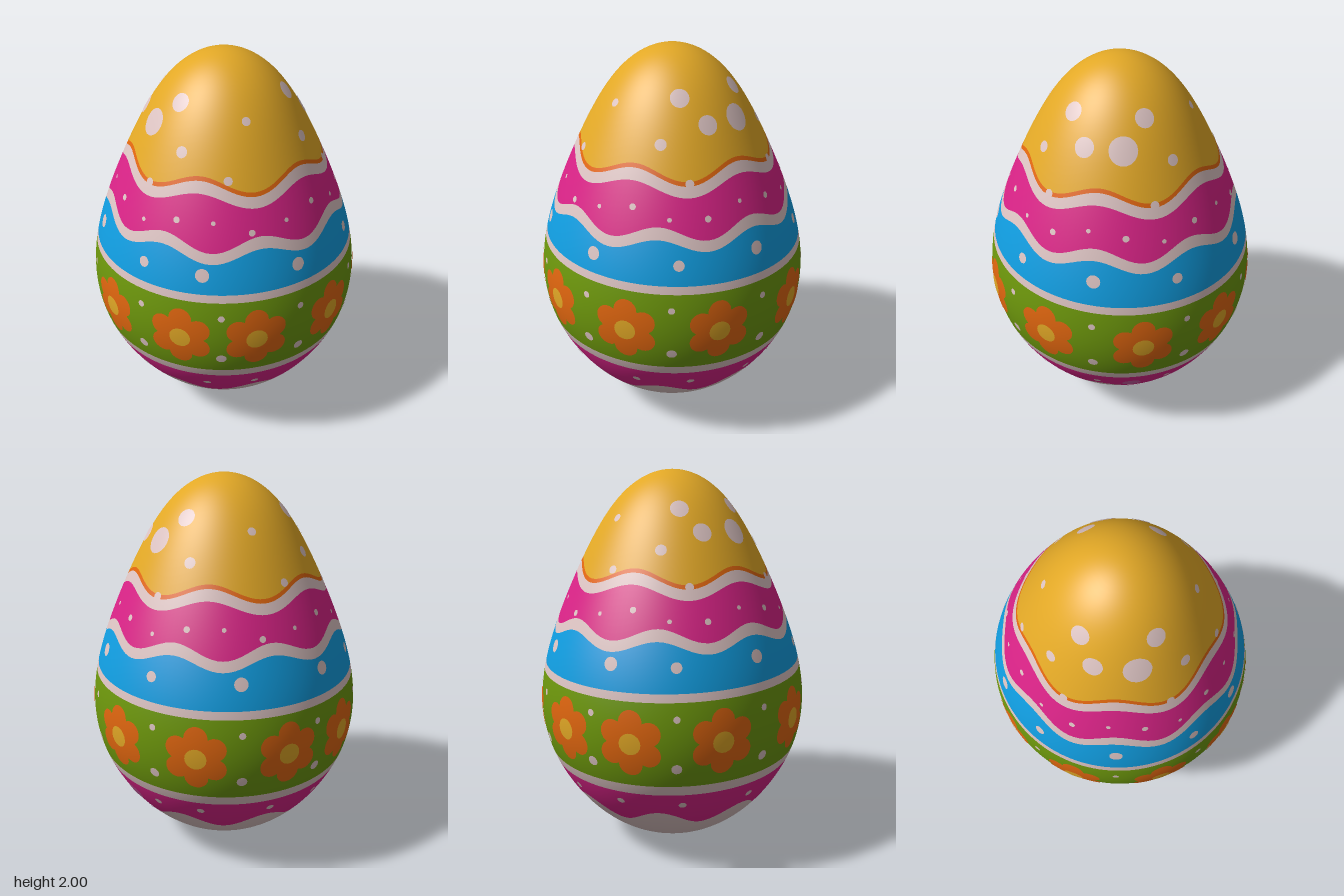
import * as THREE from 'three';
import { mergeGeometries } from 'three/addons/utils/BufferGeometryUtils.js';

const rad = THREE.MathUtils.degToRad;
const clamp = THREE.MathUtils.clamp;

// Egg radius at height y: a sphere squeezed more towards the top
function radius(y) {
  const t = clamp((y - 0.45) / 1.4, 0, 1);
  return Math.sqrt(Math.max(0, y * (2 - y))) * (0.65 + 0.11 * Math.cos(Math.PI * t));
}
const slope = (y) => (radius(Math.min(y + 0.0005, 2)) - radius(Math.max(y - 0.0005, 0))) / 0.001;

// Outward normal at angle a (0 = front, 90 degrees = +x) and height y
function normalAt(a, y) {
  if (y < 0.0006) return new THREE.Vector3(0, -1, 0);
  if (y > 1.9994) return new THREE.Vector3(0, 1, 0);
  return new THREE.Vector3(Math.sin(a), -slope(y), Math.cos(a)).normalize();
}
function pointAt(a, y, lift = 0) {
  const r = radius(y);
  return new THREE.Vector3(r * Math.sin(a), y, r * Math.cos(a)).addScaledVector(normalAt(a, y), lift);
}

function makeGeometry(pos, nor, index) {
  const g = new THREE.BufferGeometry();
  g.setAttribute('position', new THREE.Float32BufferAttribute(pos, 3));
  g.setAttribute('normal', new THREE.Float32BufferAttribute(nor, 3));
  g.setIndex(index);
  return g;
}

// Shell strip between two boundary heights, each a function of angle
function band(low, high, rows) {
  const cols = 144, pos = [], nor = [], index = [];
  const phi = (y) => Math.acos(clamp(1 - y, -1, 1));
  for (let j = 0; j <= rows; j++) {
    for (let i = 0; i <= cols; i++) {
      const a = (i / cols) * Math.PI * 2;
      const y = 1 - Math.cos(THREE.MathUtils.lerp(phi(low(a)), phi(high(a)), j / rows));
      pos.push(...pointAt(a, y));
      nor.push(...normalAt(a, y));
      if (j < rows && i < cols) {
        const p = j * (cols + 1) + i, q = p + cols + 1;
        index.push(p, p + 1, q + 1, p, q + 1, q);
      }
    }
  }
  return makeGeometry(pos, nor, index);
}

// Thin painted patch on the shell; outline(t) gives its radius per direction
function patch(a0, y0, outline, lift, sx = 1, sy = 1, segs = 18, rings = 2) {
  const east = new THREE.Vector3(Math.cos(a0), 0, -Math.sin(a0));
  const up = normalAt(a0, y0).cross(east);
  const base = pointAt(a0, y0), pos = [], nor = [], index = [];
  const add = (u, v) => {
    const p = base.clone().addScaledVector(east, u).addScaledVector(up, v);
    const a = Math.atan2(p.x, p.z);
    pos.push(...pointAt(a, p.y, lift));
    nor.push(...normalAt(a, p.y));
  };
  add(0, 0);
  for (let k = 1; k <= rings; k++) {
    for (let i = 0; i < segs; i++) {
      const t = (i / segs) * Math.PI * 2, r = (outline(t) * k) / rings;
      add(r * Math.cos(t) * sx, r * Math.sin(t) * sy);
      const n = (i + 1) % segs, p = 1 + (k - 1) * segs;
      if (k === 1) index.push(0, p + i, p + n);
      else index.push(p - segs + i, p + i, p + n, p - segs + i, p + n, p - segs + n);
    }
  }
  return makeGeometry(pos, nor, index);
}
const dot = (deg, y, r, lift = 0.003, sx = 1, sy = 1) => patch(rad(deg), y, () => r, lift, sx, sy);

// Six round petals as one outline
function petals(t) {
  const step = Math.PI / 3, d = 0.106, r = 0.06;
  const dt = t - Math.PI / 2 - Math.round((t - Math.PI / 2) / step) * step;
  return d * Math.cos(dt) + Math.sqrt(r * r - (d * Math.sin(dt)) ** 2);
}

export function createModel() {
  const egg = new THREE.Group();
  egg.name = 'decoratedEgg';
  const mats = {};
  for (const [name, color] of Object.entries({
    cream: 0xdcc3c2, yellow: 0xe2a826, orange: 0xe0660f, pink: 0xd82386,
    blue: 0x109cdf, green: 0x6d970c, mauve: 0xc65c9f,
  })) {
    mats[name] = new THREE.MeshStandardMaterial({ color });
    mats[name].name = name;
  }
  const add = (name, mat, geometry) => {
    const mesh = new THREE.Mesh(geometry, mats[mat]);
    mesh.name = name;
    egg.add(mesh);
  };

  // Boundaries between the painted bands, bottom to top
  const flat = (y) => (a) => y + 0.016 * Math.cos(a);
  const wave = (y, amp, n) => (a) => y + amp * Math.cos(n * a);
  const edges = [
    () => 0, wave(0.305, 0.045, 8), flat(0.495), flat(0.552), flat(0.984), flat(1.024),
    wave(1.212, 0.03, 8), wave(1.265, 0.033, 8), wave(1.452, -0.033, 6),
    wave(1.503, -0.035, 6), wave(1.522, -0.035, 6), () => 2,
  ];
  const bands = [
    ['bottomCap', 'cream', 16], ['lowerPinkBand', 'pink', 8], ['lowerStripe', 'cream', 2],
    ['flowerBand', 'green', 14], ['middleStripe', 'cream', 2], ['blueBand', 'blue', 8],
    ['lowerWave', 'cream', 2], ['upperPinkBand', 'pink', 8], ['upperWave', 'cream', 2],
    ['orangeWave', 'orange', 1], ['topCap', 'yellow', 22],
  ];
  bands.forEach(([name, mat, rows], i) => add(name, mat, band(edges[i], edges[i + 1], rows)));

  // Ring of flowers with round centres
  const flowers = [-4, 32.6, 70, 110.5, 147, 184, 215, 251, 290, 325.5];
  const flowerY = (deg) => 0.778 + 0.012 * Math.cos(rad(deg));
  add('flowerPetals', 'orange', mergeGeometries(
    flowers.map((d) => patch(rad(d), flowerY(d), petals, 0.003, 1, 1, 60, 4))));
  add('flowerCentres', 'yellow', mergeGeometries(flowers.map((d) => dot(d, flowerY(d), 0.054, 0.006))));

  // Dots between the flowers
  const gaps = [15, 51, 90, 129, 165, 198, 233, 270, 308, 342];
  add('flowerBandDots', 'cream', mergeGeometries(gaps.flatMap((d) => [
    dot(d, 0.655 + 0.014 * Math.cos(rad(d)), 0.026),
    dot(d, 0.905 + 0.014 * Math.cos(rad(d)), 0.017),
  ])));

  // Dots on the blue band
  const blueDots = [16, 54, 90, 126, 165, 205, 233, 270, 307, 334];
  add('blueBandDots', 'cream', mergeGeometries(
    blueDots.map((d, i) => dot(d, i % 5 === 2 ? 1.145 : 1.13, i % 5 === 1 || i % 5 === 3 ? 0.027 : 0.034))));

  // Small dots on the upper pink band
  const tiny = [];
  for (let i = 0; i < 20; i++) {
    const d = i * 18 - 4;
    tiny.push(dot(d, 1.345 - 0.03 * Math.cos(rad(6 * d)), i % 2 ? 0.011 : 0.016));
  }
  add('upperPinkDots', 'cream', mergeGeometries(tiny));

  // Dots on the lower pink band
  const lowDots = [-59, -25, -2, 34, 60, 90, 125, 147, 180, 207, 236, 270];
  add('lowerPinkDots', 'cream', mergeGeometries(lowDots.map((d) => dot(d, 0.418, 0.02))));
  add('paleSpots', 'mauve', mergeGeometries([
    dot(107, 0.39, 0.05), dot(105, 0.272, 0.08, 0.003, 1, 0.2),
  ]));

  // Spots on the top cap: x, z, radius
  const spots = [
    [0.375, -0.09, 0.068], [0.375, 0.09, 0.048], [-0.375, 0.09, 0.068], [-0.365, -0.11, 0.048],
  ];
  for (const sx of [-1, 1]) {
    for (const sz of [-1, 1]) {
      spots.push([0.26 * sx, 0.165 * sz, 0.046], [0.295 * sx, 0.305 * sz, 0.028], [0.44 * sx, 0.25 * sz, 0.021]);
    }
  }
  for (const sz of [-1, 1]) {
    spots.push([0, 0.345 * sz, 0.021], [-0.12, 0.46 * sz, 0.021], [0.175, 0.47 * sz, 0.015]);
  }
  const heightFor = (r) => {
    let lo = 0.8, hi = 2;
    for (let i = 0; i < 30; i++) {
      const mid = (lo + hi) / 2;
      if (radius(mid) > r) lo = mid; else hi = mid;
    }
    return lo;
  };
  add('topCapSpots', 'cream', mergeGeometries(spots.map(([x, z, r]) =>
    dot(THREE.MathUtils.radToDeg(Math.atan2(x, z)), heightFor(Math.hypot(x, z)), r))));

  return egg;
}
